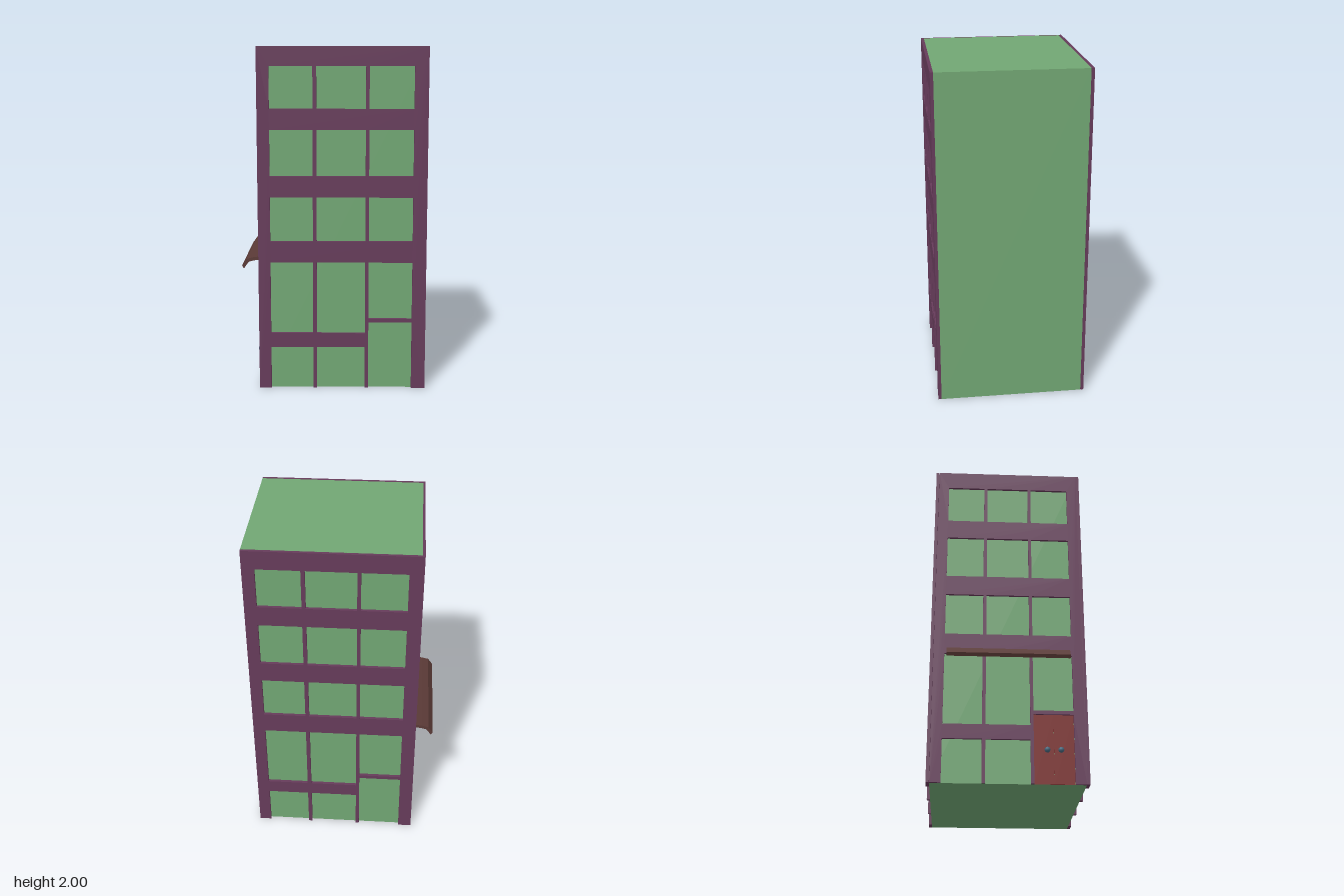
import * as THREE from 'three';

const mat = (color) => new THREE.MeshStandardMaterial({ color, flatShading: true });

// Pane columns, measured from the left edge of a facade 0.975 wide
const COLS = [[0.07, 0.318], [0.34, 0.622], [0.642, 0.897]];
const FLOORS = [[0.885, 1.142], [1.265, 1.53], [1.65, 1.89]];
const GROUND = [[0.25, 0.335], [0.25, 0.335], [0.4, 0.422]]; // top of opening, bottom of pane above

// Facade grid: outline notched at ground level, with holes for the upper panes
function facadeGeometry(width, scale, depth) {
  const shape = new THREE.Shape();
  shape.moveTo(0, 0);
  COLS.forEach(([a, b], i) => {
    const h = GROUND[i][0];
    shape.lineTo(a * scale, 0);
    shape.lineTo(a * scale, h);
    shape.lineTo(b * scale, h);
    shape.lineTo(b * scale, 0);
  });
  shape.lineTo(width, 0);
  shape.lineTo(width, 2);
  shape.lineTo(0, 2);
  shape.closePath();
  COLS.forEach(([a, b], i) => {
    for (const [y0, y1] of [[GROUND[i][1], 0.76], ...FLOORS]) {
      const hole = new THREE.Path();
      hole.moveTo(a * scale, y0);
      hole.lineTo(a * scale, y1);
      hole.lineTo(b * scale, y1);
      hole.lineTo(b * scale, y0);
      hole.closePath();
      shape.holes.push(hole);
    }
  });
  return new THREE.ExtrudeGeometry(shape, { depth, bevelEnabled: false });
}

export function createModel() {
  const group = new THREE.Group();
  const green = mat(0x71a673);
  const purple = mat(0x663b5a);
  const brown = mat(0x5a3a36);
  const red = mat(0x7d2c2a);
  const blue = new THREE.MeshStandardMaterial({ color: 0x46677d });

  const add = (name, geometry, material, x = 0, y = 0, z = 0, turn = 0) => {
    const mesh = new THREE.Mesh(geometry, material);
    mesh.name = name;
    mesh.position.set(x, y, z);
    mesh.rotation.y = turn;
    group.add(mesh);
    return mesh;
  };

  // Main block
  add('buildingBody', new THREE.BoxGeometry(0.963, 2, 0.852), green, 0.0585, 1, 0);

  // Three window facades; the fourth wall stays plain
  const wide = facadeGeometry(0.977, 1, 0.018);
  add('frontFacade', wide, purple, -0.437, 0, 0.426);
  add('backFacade', wide, purple, 0.54, 0, -0.427, Math.PI);
  add('sideFacade', facadeGeometry(0.852, 0.882, 0.014), purple, -0.423, 0, -0.426, -Math.PI / 2);

  // Double door with two knobs
  const doorZ = 0.252;
  for (const s of [-1, 1]) {
    add('doorLeaf', new THREE.BoxGeometry(0.006, 0.4, 0.112), red, -0.424, 0.2, doorZ + s * 0.0563);
    add('doorKnob', new THREE.SphereGeometry(0.016, 16, 12), blue, -0.44, 0.193, doorZ + s * 0.038);
  }

  // Bent awning over the shop side
  const profile = new THREE.Shape([
    [-0.43, 0.776], [-0.475, 0.77], [-0.515, 0.76], [-0.543, 0.72],
    [-0.532, 0.702], [-0.503, 0.742], [-0.475, 0.75], [-0.43, 0.757],
  ].map(([x, y]) => new THREE.Vector2(x, y)));
  add('awning', new THREE.ExtrudeGeometry(profile, { depth: 0.697, bevelEnabled: false }), brown, 0, 0, -0.351);

  return group;
}
